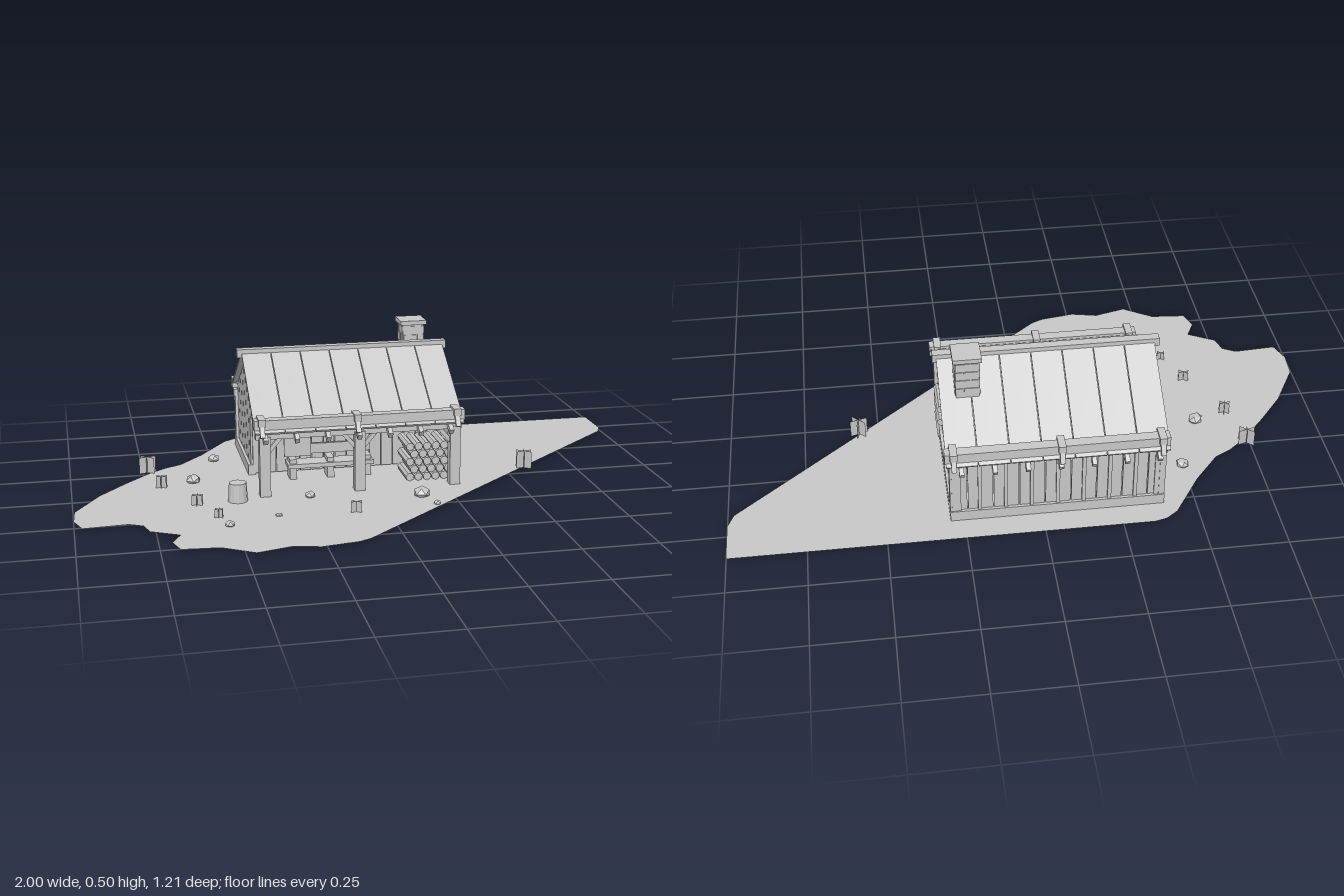
import * as THREE from 'three';

const RIDGE_Z = -0.21, RIDGE_Y = 0.43, SLOPE = 0.64;
const roofY = z => RIDGE_Y - SLOPE * Math.abs(z - RIDGE_Z);

export function createModel() {
  const model = new THREE.Group();
  const grey = new THREE.MeshStandardMaterial({ color: 0xc8c8c8, flatShading: true, side: THREE.DoubleSide });
  grey.name = 'plain grey';

  const group = (name, parent = model) => {
    const g = new THREE.Group();
    g.name = name;
    parent.add(g);
    return g;
  };
  const add = (parent, name, geometry, x = 0, y = 0, z = 0) => {
    const m = new THREE.Mesh(geometry, grey);
    m.name = name;
    m.position.set(x, y, z);
    parent.add(m);
    return m;
  };
  // Box given by its limits on each axis
  const box = (parent, name, x0, x1, y0, y1, z0, z1) =>
    add(parent, name, new THREE.BoxGeometry(x1 - x0, y1 - y0, z1 - z0), (x0 + x1) / 2, (y0 + y1) / 2, (z0 + z1) / 2);
  // Square bar between two points
  const bar = (parent, name, a, b, w, h) => {
    const p = new THREE.Vector3(...a), q = new THREE.Vector3(...b);
    const m = add(parent, name, new THREE.BoxGeometry(w, h, p.distanceTo(q)));
    m.position.copy(p).add(q).multiplyScalar(0.5);
    m.lookAt(q);
    return m;
  };

  // Ground sheet with a ragged edge on one side and straight cuts on the other
  const edge = [[-0.35, -0.61], [1, -0.61], [1, -0.46], [0.98, -0.41], [-0.11, 0.55], [-0.15, 0.57], [-0.27, 0.59],
    [-0.36, 0.57], [-0.47, 0.60], [-0.57, 0.535], [-0.69, 0.525], [-0.71, 0.46], [-0.68, 0.40], [-0.77, 0.35],
    [-0.785, 0.295], [-0.83, 0.27], [-0.975, 0.28], [-1, 0.21], [-0.995, 0.12], [-0.91, -0.03], [-0.82, -0.14],
    [-0.73, -0.24], [-0.67, -0.29], [-0.615, -0.32], [-0.53, -0.42], [-0.47, -0.51], [-0.43, -0.57], [-0.39, -0.60]];
  const ground = new THREE.ShapeGeometry(new THREE.Shape(edge.map(([x, z]) => new THREE.Vector2(x, -z))));
  ground.rotateX(-Math.PI / 2);
  add(model, 'ground', ground, 0, 0.004, 0);

  // Vertical side planks cut to the roof slope
  const sideWall = (name, x, zFront, zBack, count, bottom) => {
    const g = group(name), w = (zFront - zBack) / count;
    for (let i = 0; i < count; i++) {
      const a = zFront - i * w - 0.0015, b = a - w + 0.003;
      const y0 = bottom(a);
      const pts = [[-a, y0], [-b, y0], [-b, roofY(b) - 0.008]];
      if (a > RIDGE_Z && b < RIDGE_Z) pts.push([-RIDGE_Z, RIDGE_Y - 0.008]);
      pts.push([-a, roofY(a) - 0.008]);
      const shape = new THREE.Shape(pts.map(p => new THREE.Vector2(...p)));
      const geo = new THREE.ExtrudeGeometry(shape, { depth: 0.012, bevelEnabled: false });
      geo.rotateY(Math.PI / 2);
      add(g, 'plank', geo, x, 0, 0);
    }
  };
  // The right wall stays open low down beside the firewood
  sideWall('rightWall', 0.273, 0.095, -0.515, 17, z => (z < 0.045 && z > -0.09 ? 0.14 : 0.01));
  sideWall('leftWall', -0.385, 0.095, -0.515, 17, z => (z > -0.14 ? 0.215 : 0.01));

  // Straight plank walls, back and inside the porch
  const plankWall = (name, z, top, count) => {
    const g = group(name), w = 0.66 / count;
    for (let i = 0; i < count; i++) {
      const x = -0.38 + i * w;
      box(g, 'plank', x + 0.0015, x + w - 0.0015, 0.01, top, z, z + 0.01);
    }
    return g;
  };
  const back = plankWall('backWall', -0.515, 0.228, 16);
  for (let i = 0; i <= 8; i++) box(back, 'batten', -0.387 + i * 0.083, -0.375 + i * 0.083, 0.04, 0.225, -0.522, -0.512);
  plankWall('porchWall', -0.16, 0.39, 16);

  // Sill beams and wall plates
  const frame = group('frame');
  box(frame, 'rightSill', 0.27, 0.295, 0, 0.04, -0.52, -0.1);
  box(frame, 'leftSill', -0.395, -0.37, 0, 0.04, -0.52, -0.15);
  box(frame, 'backSill', -0.395, 0.295, 0, 0.04, -0.525, -0.5);
  box(frame, 'frontPlate', -0.4, 0.3, 0.2, 0.225, 0.065, 0.09);
  box(frame, 'backPlate', -0.4, 0.3, 0.2, 0.225, -0.51, -0.485);
  for (const x of [-0.395, 0.26]) box(frame, 'backPost', x, x + 0.035, 0, 0.22, -0.52, -0.485);
  for (const x of [-0.37, -0.05, 0.278]) {
    box(frame, 'porchPost', x - 0.018, x + 0.018, 0, 0.21, 0.06, 0.096);
    for (const s of [-1, 1]) {
      const end = x + s * 0.06;
      if (end > -0.4 && end < 0.3) bar(frame, 'brace', [x, 0.14, 0.078], [end, 0.21, 0.078], 0.014, 0.014);
    }
  }

  // Roof of seven panels on each slope, with rafters below
  const roof = group('roof');
  for (const side of [-1, 1]) {
    const endZ = RIDGE_Z + side * 0.32;
    for (let i = 0; i < 7; i++) {
      const x = -0.405 + (i + 0.5) * 0.1014;
      bar(roof, 'roofPanel', [x, RIDGE_Y, RIDGE_Z], [x, roofY(endZ), endZ], 0.099, 0.008);
    }
    for (let i = 0; i < 7; i++) {
      const x = -0.37 + i * 0.1045, z = RIDGE_Z + side * 0.333;
      bar(roof, 'rafter', [x, RIDGE_Y - 0.02, RIDGE_Z], [x, roofY(z) - 0.018, z], 0.015, 0.02);
    }
    // Eave pole with its brackets
    const poleZ = RIDGE_Z + side * 0.293;
    box(roof, 'eavePole', -0.405, 0.308, 0.232, 0.268, poleZ - 0.018, poleZ + 0.018);
    for (const x of [-0.38, -0.06, 0.28]) {
      box(roof, 'bracketTop', x - 0.012, x + 0.012, 0.25, 0.274, poleZ - 0.03, poleZ + 0.03);
      bar(roof, 'bracketHook', [x, 0.25, poleZ + side * 0.022], [x, 0.215, poleZ + side * 0.038], 0.016, 0.012);
    }
  }
  box(roof, 'ridgeBeam', -0.42, 0.316, 0.412, 0.44, -0.225, -0.195);

  // Chimney with raised stones and a cap
  const chimney = group('chimney');
  box(chimney, 'stack', 0.178, 0.252, 0.01, 0.485, -0.34, -0.262);
  box(chimney, 'cap', 0.169, 0.261, 0.485, 0.5, -0.347, -0.255);
  for (let row = 0; row < 4; row++) {
    const y = 0.36 + row * 0.031, split = row % 2 ? -0.313 : -0.29;
    for (const [a, b] of [[-0.337, split - 0.002], [split + 0.002, -0.265]]) {
      box(chimney, 'stone', 0.175, 0.255, y, y + 0.027, a, b);
      box(chimney, 'stone', 0.181 + (a + 0.337), 0.181 + (b + 0.337), y, y + 0.027, -0.343, -0.259);
    }
  }

  // Stacked firewood lying front to back
  const wood = group('firewood');
  for (let row = 0; row < 5; row++) {
    for (let i = 0; i < 6 - (row % 2); i++) {
      const log = new THREE.CylinderGeometry(0.0145, 0.0145, 0.13, 7);
      log.rotateX(Math.PI / 2);
      add(wood, 'log', log, 0.137 + i * 0.03 + (row % 2) * 0.015, 0.018 + row * 0.027, -0.035);
    }
  }

  // Porch furniture
  const porch = group('porchFurniture');
  box(porch, 'hangingBoard', -0.3, -0.21, 0.125, 0.225, 0.045, 0.053);
  box(porch, 'benchSeat', -0.27, 0.03, 0.045, 0.06, -0.13, -0.06);
  box(porch, 'benchBack', -0.26, 0.03, 0.075, 0.11, -0.14, -0.13);
  for (const x of [-0.25, -0.12, 0.01]) box(porch, 'benchLeg', x - 0.012, x + 0.012, 0.004, 0.075, -0.13, -0.07);

  // Stump
  add(model, 'stump', new THREE.CylinderGeometry(0.029, 0.033, 0.065, 12), -0.465, 0.0345, 0.112);

  // Scattered rocks
  const rocks = group('rocks');
  for (const [x, z, r] of [[-0.495, -0.345, 0.023], [-0.59, -0.115, 0.027], [-0.355, 0.285, 0.012], [-0.52, 0.345, 0.018],
    [0.14, 0.185, 0.031], [0.17, 0.275, 0.014], [-0.225, 0.12, 0.02]]) {
    const rock = add(rocks, 'rock', new THREE.IcosahedronGeometry(r, 0), x, r * 0.45, z);
    rock.scale.set(1.05, 0.7, 0.95);
    rock.rotation.y = x * 9;
  }

  // Grass tufts of crossed upright sheets
  const grass = group('grassTufts');
  for (const [x, z, w, h] of [[0.565, -0.04, 0.06, 0.062], [-0.735, -0.255, 0.06, 0.058], [-0.7, -0.08, 0.04, 0.042],
    [-0.6, 0.125, 0.04, 0.036], [-0.105, 0.3, 0.04, 0.038], [-0.545, 0.26, 0.03, 0.03]]) {
    for (let i = 0; i < 3; i++) {
      add(grass, 'blades', new THREE.PlaneGeometry(w, h), x, h / 2 + 0.002, z).rotation.y = 0.3 + i * Math.PI / 3;
    }
  }
  return model;
}
